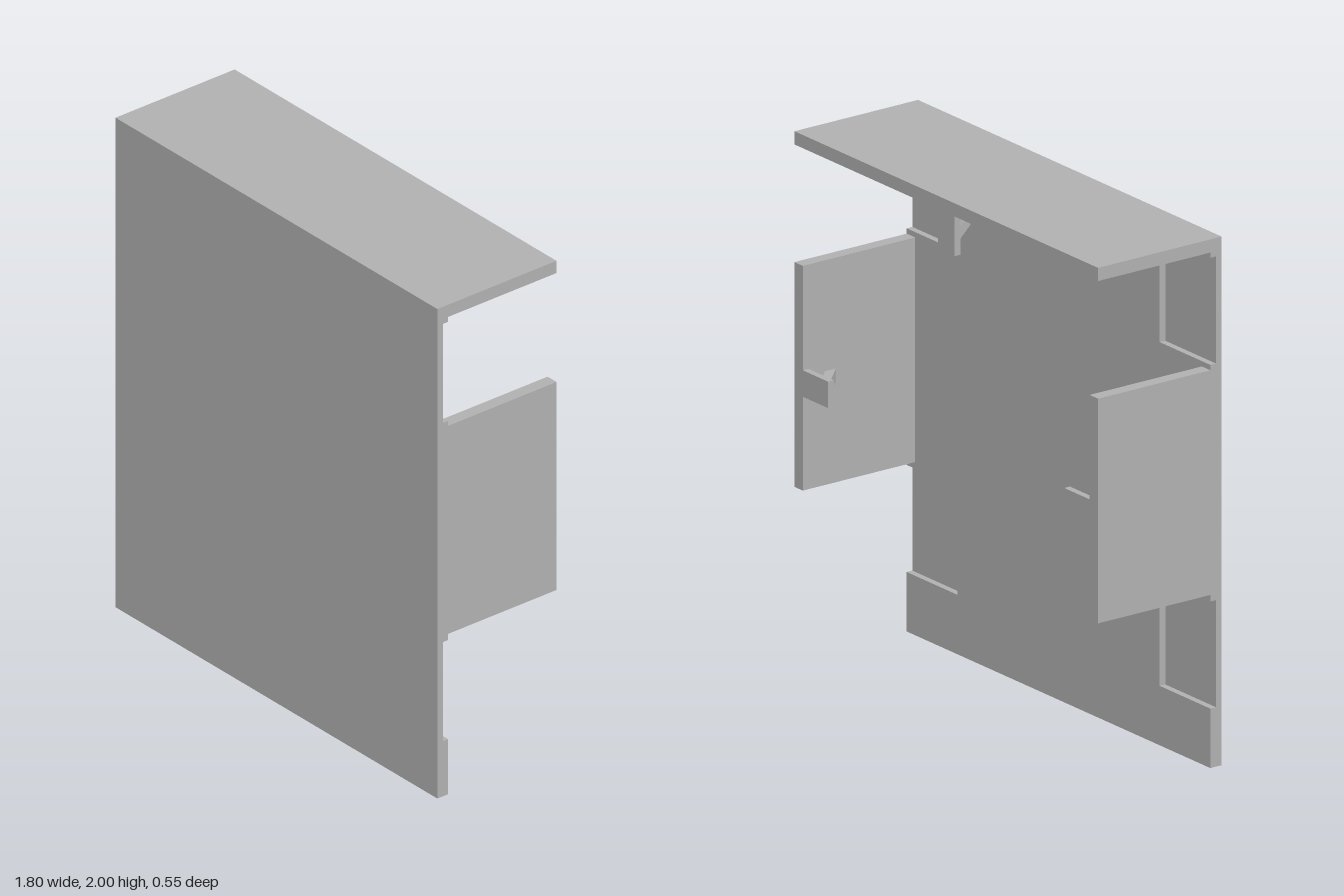
import * as THREE from 'three';

export function createModel() {
  const model = new THREE.Group();
  model.name = 'mountingCover';
  const grey = new THREE.MeshStandardMaterial({ color: 0xb0b0b0 });
  grey.name = 'plain grey';

  const add = (parent, name, geometry, x = 0, y = 0, z = 0) => {
    const mesh = new THREE.Mesh(geometry, grey);
    mesh.name = name;
    mesh.position.set(x, y, z);
    parent.add(mesh);
    return mesh;
  };
  const box = (parent, name, x0, x1, y0, y1, z0, z1) =>
    add(parent, name, new THREE.BoxGeometry(x1 - x0, y1 - y0, z1 - z0),
      (x0 + x1) / 2, (y0 + y1) / 2, (z0 + z1) / 2);
  const polygon = (points) => new THREE.Shape(points.map(([x, y]) => new THREE.Vector2(x, y)));

  // Front panel: solid outer sheet
  box(model, 'panelFace', -0.9, 0.9, 0, 2, 0.25, 0.275);

  // Inner sheet, notched at both sides to leave four shallow recesses
  const right = [
    [0.9, 0], [0.9, 0.225], [0.6, 0.225], [0.6, 0.63], [0.9, 0.63],
    [0.9, 1.525], [0.6, 1.525], [0.6, 1.93], [0.9, 1.93], [0.9, 2],
  ];
  const left = right.map(([x, y]) => [-x, y]).reverse();
  add(model, 'panelBacking',
    new THREE.ExtrudeGeometry(polygon([...right, ...left]), { depth: 0.025, bevelEnabled: false }),
    0, 0, 0.225);

  // Top and side flanges
  box(model, 'topFlange', -0.9, 0.9, 1.95, 2, -0.275, 0.225);
  for (const s of [-1, 1]) {
    const flange = box(model, s > 0 ? 'leftFlange' : 'rightFlange',
      0.85, 0.9, 0.655, 1.505, -0.275, 0.225);
    flange.position.x *= s;
  }

  // Clip: a small tab hanging from the flange edge with a diagonal brace
  const braceWidth = 0.05;
  const braceShape = polygon([[-0.25, -0.12], [-0.128, 0], [-0.178, 0], [-0.25, -0.075]]);
  const makeClip = (name, x, y, angle) => {
    const clip = new THREE.Group();
    clip.name = name;
    box(clip, 'tab', -0.05, 0.05, -0.15, 0, -0.275, -0.25);
    const brace = new THREE.ExtrudeGeometry(braceShape, { depth: braceWidth, bevelEnabled: false });
    brace.translate(0, 0, -braceWidth / 2).rotateY(-Math.PI / 2);
    add(clip, 'brace', brace);
    clip.position.set(x, y, 0);
    clip.rotation.z = angle;
    model.add(clip);
  };
  makeClip('topClip', 0, 1.95, 0);
  makeClip('leftClip', 0.85, 1.06, -Math.PI / 2);
  makeClip('rightClip', -0.85, 1.06, Math.PI / 2);

  return model;
}
